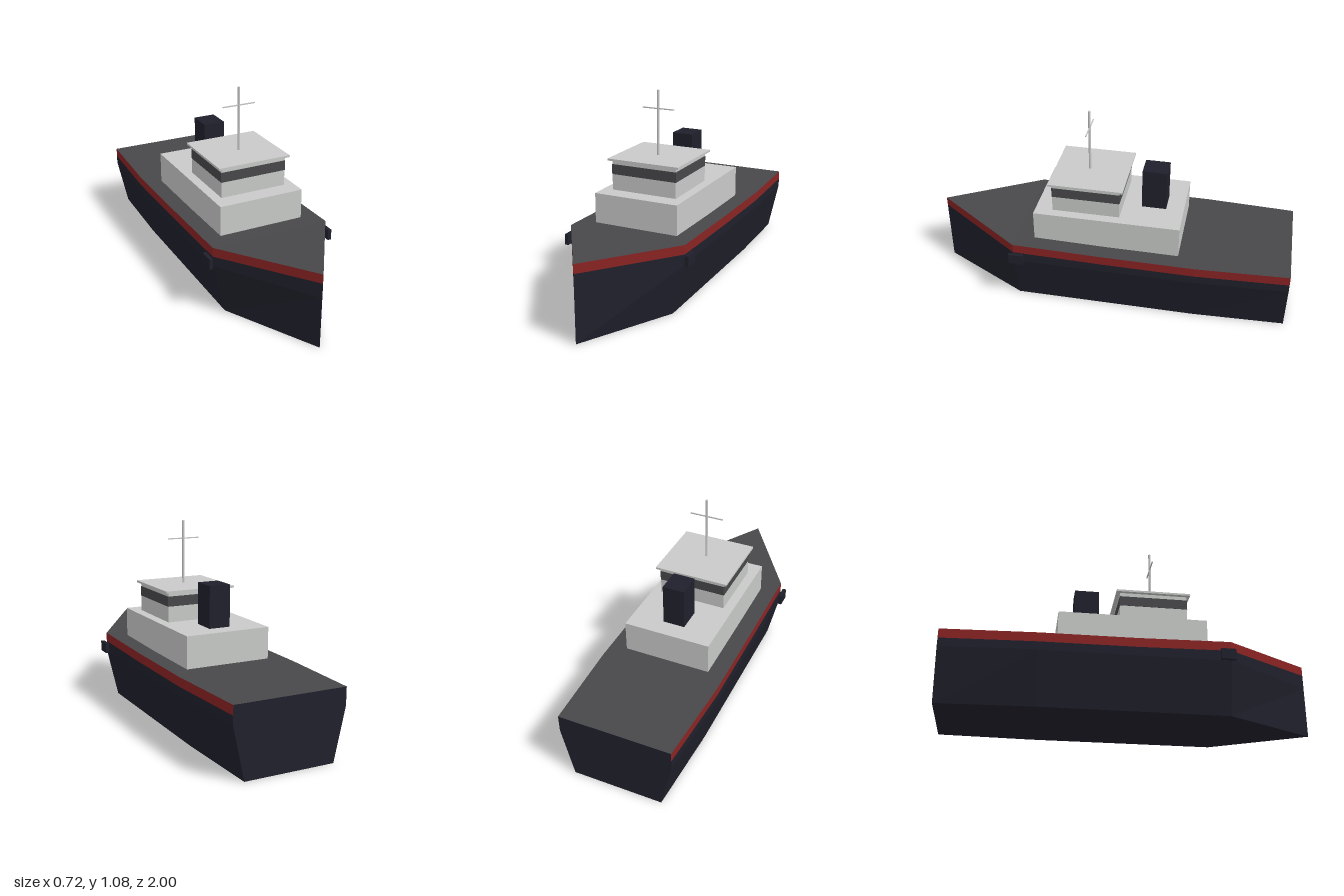
import * as THREE from 'three';

const material = (name, color) => {
  const m = new THREE.MeshStandardMaterial({ color });
  m.name = name;
  return m;
};

export function createModel() {
  const navy = material('navy', 0x20202c);
  const red = material('red', 0x8a2323);
  const deckGrey = material('deck grey', 0x48484b);
  const paleGrey = material('pale grey', 0xc8cac8);

  const ship = new THREE.Group();
  ship.name = 'ship';

  // Hull stations from bow to stern: z, half width, deck height
  const stations = [
    [1, 0, 0.409],
    [0.5, 0.333, 0.386],
    [0, 0.333, 0.377],
    [-0.5, 0.333, 0.375],
    [-1, 0.308, 0.375],
  ];
  // Section levels: keel edge, chine, stripe bottom, deck edge
  const sections = stations.map(([z, w, top]) => [
    [w * 0.8, 0, z], [w, 0.28, z], [w, top - 0.05, z], [w, top, z],
  ]);
  const flip = ([x, y, z]) => [-x, y, z];

  // Mesh of flat quads, each given counter-clockwise from outside
  function addQuads(name, quads, mat) {
    const points = quads.flatMap(([a, b, c, d]) => [a, b, c, a, c, d]);
    const geometry = new THREE.BufferGeometry();
    geometry.setAttribute('position', new THREE.Float32BufferAttribute(points.flat(), 3));
    geometry.computeVertexNormals();
    const mesh = new THREE.Mesh(geometry, mat);
    mesh.name = name;
    ship.add(mesh);
  }

  const hull = [], stripe = [], deck = [];
  for (let i = 0; i < sections.length - 1; i++) {
    const f = sections[i], b = sections[i + 1];
    for (let j = 0; j < 3; j++) {
      const side = [f[j], b[j], b[j + 1], f[j + 1]];
      (j === 2 ? stripe : hull).push(side, side.map(flip).reverse());
    }
    deck.push([flip(f[3]), f[3], b[3], flip(b[3])]);
    hull.push([f[0], flip(f[0]), flip(b[0]), b[0]]);
  }
  // Transom
  const stern = sections[sections.length - 1];
  for (let j = 0; j < 3; j++) {
    hull.push([stern[j], flip(stern[j]), flip(stern[j + 1]), stern[j + 1]]);
  }
  addQuads('hull', hull, navy);
  addQuads('hullStripe', stripe, red);
  addQuads('deck', deck, deckGrey);

  // Box from its extents
  function addBox(name, mat, [x0, x1], [y0, y1], [z0, z1]) {
    const mesh = new THREE.Mesh(new THREE.BoxGeometry(x1 - x0, y1 - y0, z1 - z0), mat);
    mesh.position.set((x0 + x1) / 2, (y0 + y1) / 2, (z0 + z1) / 2);
    mesh.name = name;
    ship.add(mesh);
  }

  // Superstructure
  addBox('deckhouse', paleGrey, [-0.24, 0.24], [0.37, 0.548], [-0.4, 0.4]);
  addBox('bridge', paleGrey, [-0.187, 0.187], [0.548, 0.711], [-0.066, 0.304]);
  addBox('bridgeRoof', paleGrey, [-0.207, 0.207], [0.711, 0.722], [-0.086, 0.321]);
  addBox('funnel', navy, [-0.06, 0.06], [0.548, 0.775], [-0.303, -0.168]);

  // Window band: thin plates around the bridge
  const t = 0.002;
  const band = [0.635, 0.69];
  addBox('frontWindow', deckGrey, [-0.187, 0.187], band, [0.304, 0.304 + t]);
  addBox('backWindow', deckGrey, [-0.187, 0.187], band, [-0.066 - t, -0.066]);
  addBox('leftWindow', deckGrey, [0.187, 0.187 + t], band, [-0.066, 0.304]);
  addBox('rightWindow', deckGrey, [-0.187 - t, -0.187], band, [-0.066, 0.304]);

  // Mast and yard
  const mast = new THREE.Mesh(new THREE.CylinderGeometry(0.007, 0.007, 0.354, 8), paleGrey);
  mast.position.set(0, 0.898, 0.132);
  mast.name = 'mast';
  ship.add(mast);
  addBox('mastYard', paleGrey, [-0.094, 0.094], [0.972, 0.978], [0.129, 0.135]);

  // Anchors either side of the bow
  addBox('leftAnchor', navy, [0.341, 0.361], [0.278, 0.336], [0.44, 0.52]);
  addBox('rightAnchor', navy, [-0.361, -0.341], [0.278, 0.336], [0.44, 0.52]);

  return ship;
}
